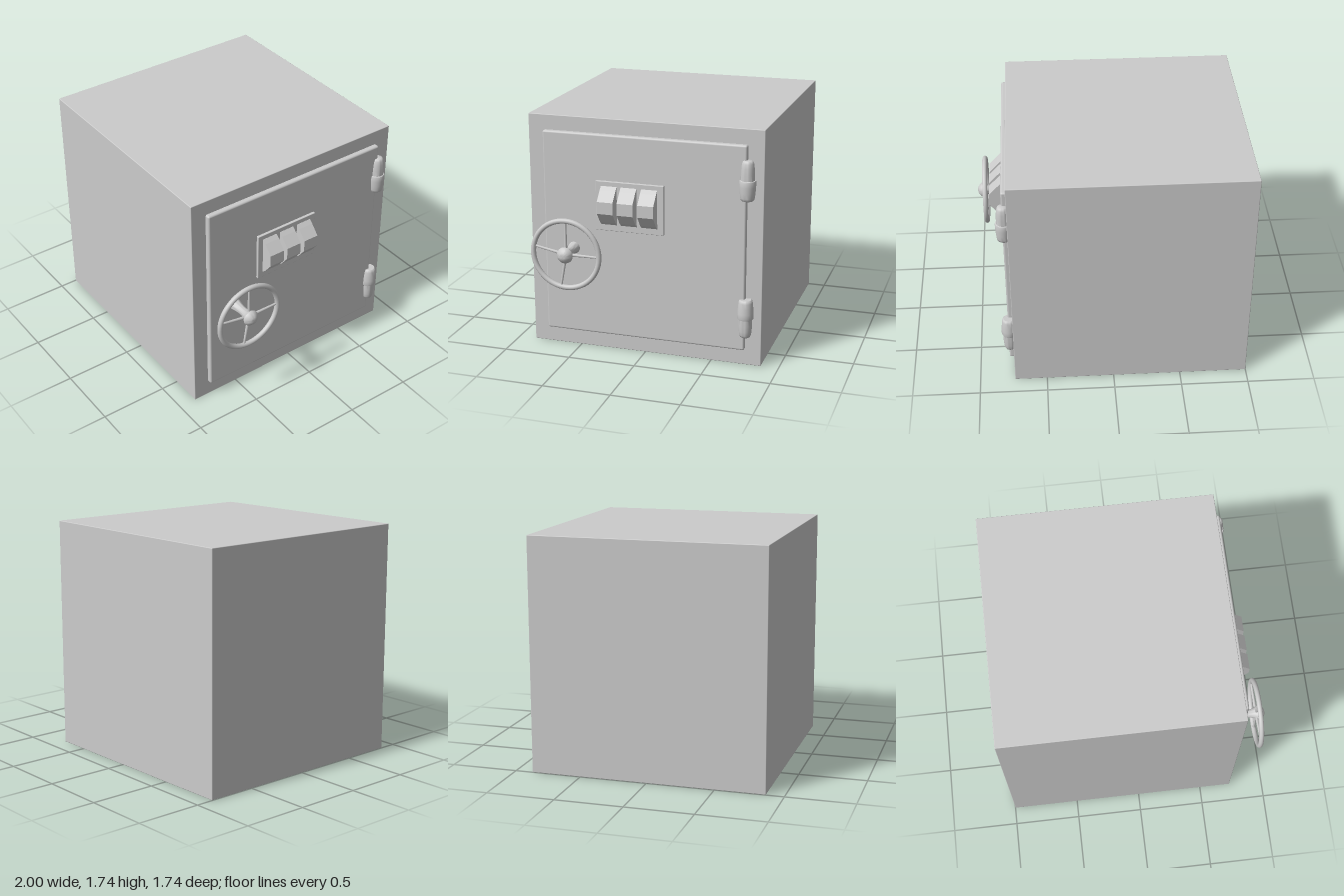
import * as THREE from 'three';
import { RoundedBoxGeometry } from 'three/addons/geometries/RoundedBoxGeometry.js';
import { toCreasedNormals } from 'three/addons/utils/BufferGeometryUtils.js';

const material = new THREE.MeshStandardMaterial({ color: 0xcccccc });

function add(parent, name, geometry, x = 0, y = 0, z = 0) {
  const mesh = new THREE.Mesh(geometry, material);
  mesh.name = name;
  mesh.position.set(x, y, z);
  parent.add(mesh);
  return mesh;
}

// Turned part from [radius, height] pairs, bottom to top
function turned(points, sides = 32) {
  const profile = points.map(([r, h]) => new THREE.Vector2(r, h));
  return toCreasedNormals(new THREE.LatheGeometry(profile, sides), 0.7);
}

export function createModel() {
  const model = new THREE.Group();
  model.name = 'safe';

  // Cabinet and door slab (the door is on the +x side)
  add(model, 'cabinet', new RoundedBoxGeometry(1.74, 1.74, 1.74, 2, 0.005), -0.13, 0.87, 0);
  add(model, 'door', new RoundedBoxGeometry(0.065, 1.51, 1.505, 3, 0.014), 0.743, 0.875, 0);

  // Combination panel with three faceted dials
  add(model, 'dialPanel', new RoundedBoxGeometry(0.04, 0.365, 0.507, 2, 0.004), 0.775, 1.114, 0.0925);
  const dialShape = new THREE.Shape([
    [0.78, 0.976], [0.796, 0.978], [0.826, 1.003], [0.885, 1.08],
    [0.885, 1.168], [0.822, 1.237], [0.796, 1.262], [0.78, 1.264],
  ].map(([x, y]) => new THREE.Vector2(x, y)));
  for (const z of [-0.055, 0.098, 0.246]) {
    const dial = new THREE.ExtrudeGeometry(dialShape, { depth: 0.118, bevelEnabled: false });
    dial.translate(0, 0, -0.059);
    add(model, 'dial', dial, 0, 0, z);
  }

  // Hand wheel: rim, turned hub and four unevenly set spokes
  const wheel = new THREE.Group();
  wheel.name = 'handWheel';
  wheel.position.set(0.936, 0.77, 0.528);
  model.add(wheel);
  const rim = add(wheel, 'wheelRim', new THREE.TorusGeometry(0.251, 0.019, 14, 56));
  rim.rotation.y = Math.PI / 2;
  const hub = add(wheel, 'wheelHub', turned([
    [0.046, -0.17], [0.043, -0.155], [0.036, -0.12], [0.031, -0.08], [0.032, -0.045],
    [0.04, -0.015], [0.053, 0.008], [0.06, 0.02], [0.058, 0.03],
    [0.042, 0.048], [0.028, 0.06], [0.014, 0.064], [0, 0.064],
  ]));
  hub.rotation.z = -Math.PI / 2;
  for (const degrees of [0, 90, 169, 260]) {
    const spoke = new THREE.CylinderGeometry(0.008, 0.012, 0.22, 10);
    spoke.translate(0, 0.135, 0);
    add(wheel, 'wheelSpoke', spoke).rotation.x = THREE.MathUtils.degToRad(degrees - 90);
  }

  // Barrel hinges, mirrored about the middle of the door
  const hingeProfile = [
    [0, 1.24], [0.04, 1.24], [0.047, 1.246], [0.051, 1.262], [0.055, 1.3], [0.058, 1.34],
    [0.059, 1.375], [0.056, 1.384], [0.049, 1.386], [0.049, 1.43], [0.046, 1.475],
    [0.042, 1.505], [0.036, 1.52], [0.028, 1.525], [0, 1.525],
  ];
  add(model, 'upperHinge', turned(hingeProfile), 0.766, 0, -0.758);
  const lower = hingeProfile.map(([r, h]) => [r, 1.75 - h]).reverse();
  add(model, 'lowerHinge', turned(lower), 0.766, 0, -0.758);

  return model;
}
